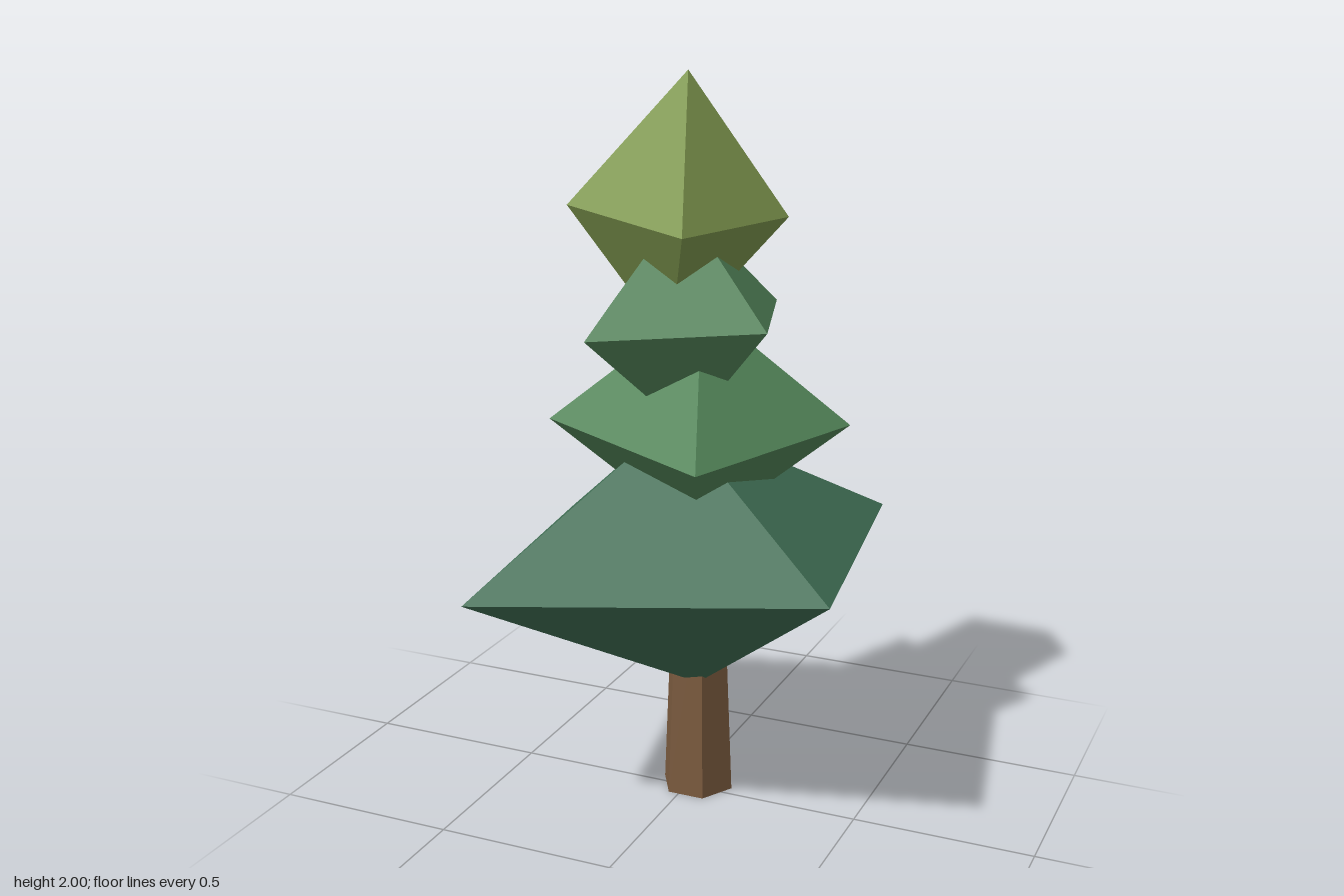
import * as THREE from 'three';

const mat = (name, color) => {
  const m = new THREE.MeshStandardMaterial({ color });
  m.name = name;
  return m;
};

// Irregular bipyramid: apex, base point and a ring of corners running counter-clockwise seen from above
function bipyramid(top, bottom, ring) {
  const pos = [];
  ring.forEach((a, i) => {
    const b = ring[(i + 1) % ring.length];
    pos.push(...a, ...b, ...top, ...b, ...a, ...bottom);
  });
  const g = new THREE.BufferGeometry();
  g.setAttribute('position', new THREE.Float32BufferAttribute(pos, 3));
  g.computeVertexNormals(); // unshared corners give flat facets
  return g;
}

export function createModel() {
  const tree = new THREE.Group();
  tree.name = 'tree';

  const bark = mat('bark brown', 0x7a5a3e);
  const dark = mat('dark green', 0x3f6d53);
  const mid = mat('mid green', 0x54865a);
  const light = mat('light olive green', 0x80994f);
  bark.flatShading = true;

  const add = (name, geometry, material) => {
    const mesh = new THREE.Mesh(geometry, material);
    mesh.name = name;
    tree.add(mesh);
    return mesh;
  };

  // Tapered six-sided trunk, running up into the lowest tier
  const trunk = new THREE.CylinderGeometry(0.077, 0.103, 0.62, 6);
  trunk.rotateY(Math.PI / 6).translate(0.022, 0.31, -0.032);
  add('trunk', trunk, bark);

  // Four tilted, overlapping foliage tiers
  const tiers = [
    ['lowestFoliage', dark, [-0.04, 1.08, -0.015], [0.04, 0.33, 0.01],
      [[0.54, 0.76, 0.365], [0.38, 0.72, -0.565], [-0.54, 0.65, -0.37], [-0.38, 0.69, 0.56]]],
    ['lowerFoliage', mid, [0.03, 1.395, -0.03], [0.005, 0.74, -0.065],
      [[0.17, 1.04, 0.335], [0.395, 1.06, -0.195], [-0.13, 1.1, -0.43], [-0.36, 1.07, 0.1]]],
    ['upperFoliage', mid, [-0.01, 1.66, 0], [0, 1.05, 0],
      [[0.27, 1.365, 0.11], [0.13, 1.355, -0.325], [-0.28, 1.345, -0.115], [-0.14, 1.35, 0.32]]],
    ['topFoliage', light, [0.005, 2, 0], [-0.06, 1.275, -0.03],
      [[0.095, 1.615, 0.245], [0.23, 1.62, -0.14], [-0.15, 1.66, -0.275], [-0.29, 1.655, 0.11]]],
  ];
  for (const [name, material, top, bottom, ring] of tiers) {
    add(name, bipyramid(top, bottom, ring), material);
  }

  return tree;
}
